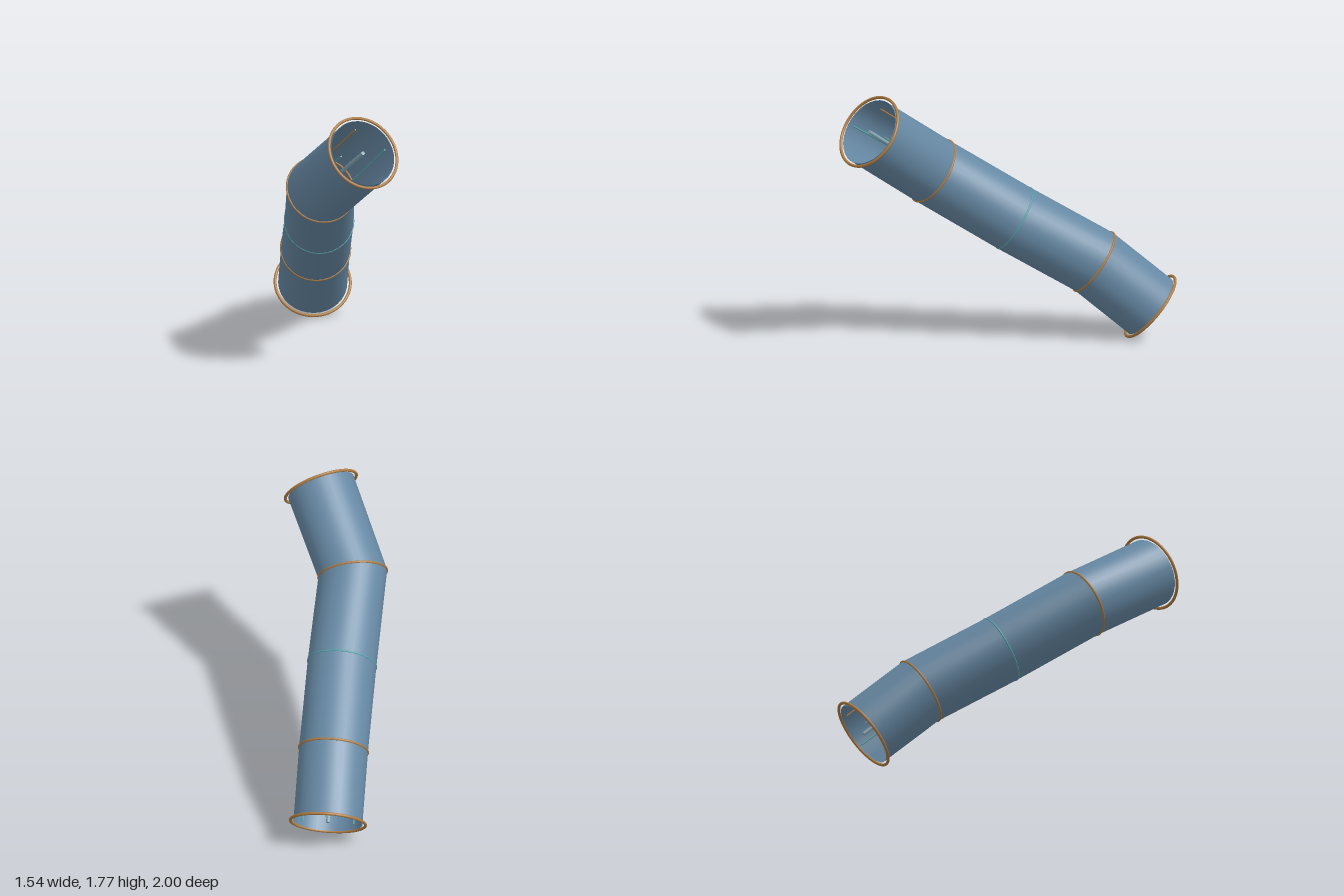
import * as THREE from 'three';

const UP = new THREE.Vector3(0, 1, 0);

// Centre line of the tunnel, from the high front mouth to the low back mouth
const path = [
  [-0.51, 1.56, 0.843], [-0.41, 1.198, 0.32], [-0.047, 0.852, -0.088],
  [0.298, 0.53, -0.495], [0.54, 0.205, -0.785],
].map(p => new THREE.Vector3(...p));

// Frame at each point: side, up and axis, with the axis halving each bend
const frames = path.map((p, i) => {
  const axis = new THREE.Vector3();
  if (i > 0) axis.add(p.clone().sub(path[i - 1]).normalize());
  if (i < path.length - 1) axis.add(path[i + 1].clone().sub(p).normalize());
  axis.normalize();
  const side = new THREE.Vector3().crossVectors(UP, axis).normalize();
  const up = new THREE.Vector3().crossVectors(axis, side);
  return new THREE.Matrix4().makeBasis(side, up, axis).setPosition(p);
});

const material = color => new THREE.MeshStandardMaterial({ color, side: THREE.DoubleSide });

// Round pipe between two neighbouring frames, shifted by (ox, oy) in the cross-section
function pipeSection(i, radius, sides, ox = 0, oy = 0) {
  const positions = [], index = [];
  for (let end = 0; end < 2; end++) {
    for (let s = 0; s <= sides; s++) {
      const a = (s / sides) * Math.PI * 2;
      const v = new THREE.Vector3(ox + radius * Math.cos(a), oy + radius * Math.sin(a), 0);
      positions.push(...v.applyMatrix4(frames[i + end]).toArray());
    }
  }
  for (let s = 0; s < sides; s++) {
    const b = s + sides + 1;
    index.push(s, s + 1, b, s + 1, b + 1, b);
  }
  const geometry = new THREE.BufferGeometry();
  geometry.setAttribute('position', new THREE.Float32BufferAttribute(positions, 3));
  geometry.setIndex(index);
  geometry.computeVertexNormals();
  // Join the shading across the seam
  const n = geometry.attributes.normal;
  for (const k of [0, sides + 1]) {
    const v = new THREE.Vector3().fromBufferAttribute(n, k)
      .add(new THREE.Vector3().fromBufferAttribute(n, k + sides)).normalize();
    n.setXYZ(k, v.x, v.y, v.z);
    n.setXYZ(k + sides, v.x, v.y, v.z);
  }
  return geometry;
}

function pipe(name, mat, radius, sides, ox, oy, capped) {
  const group = new THREE.Group();
  group.name = name;
  for (let i = 0; i < path.length - 1; i++) {
    const mesh = new THREE.Mesh(pipeSection(i, radius, sides, ox, oy), mat);
    mesh.name = `${name}Section`;
    group.add(mesh);
  }
  if (capped) {
    for (const frame of [frames[0], frames[frames.length - 1]]) {
      const cap = new THREE.CircleGeometry(radius, sides).translate(ox, oy, 0).applyMatrix4(frame);
      const mesh = new THREE.Mesh(cap, mat);
      mesh.name = `${name}End`;
      group.add(mesh);
    }
  }
  return group;
}

export function createModel() {
  const model = new THREE.Group();
  model.name = 'tunnel';
  const shell = material(0x6688a3);
  const bronze = material(0xae7c42);
  const teal = material(0x55a3a8);
  const steel = material(0x86a6b5);

  // Open shell
  model.add(pipe('shell', shell, 0.23, 32, 0, 0, false));

  // Wide rings at the mouths, slim rings at the joints
  const rings = [
    ['mouthRing', 0.25, 0.01, bronze], ['jointRing', 0.229, 0.008, bronze],
    ['middleRing', 0.228, 0.006, teal],
    ['jointRing', 0.229, 0.008, bronze], ['mouthRing', 0.25, 0.01, bronze],
  ];
  rings.forEach(([name, radius, thickness, mat], i) => {
    const geometry = new THREE.TorusGeometry(radius, thickness, 10, 64).applyMatrix4(frames[i]);
    const mesh = new THREE.Mesh(geometry, mat);
    mesh.name = name;
    model.add(mesh);
  });

  // Rods running the whole length inside
  model.add(pipe('centreRod', steel, 0.013, 12, 0, 0, true));
  for (const x of [-0.17, 0.17]) model.add(pipe('sideRod', teal, 0.006, 8, x, 0, true));
  model.add(pipe('topRod', bronze, 0.005, 8, 0, 0.17, true));

  return model;
}
